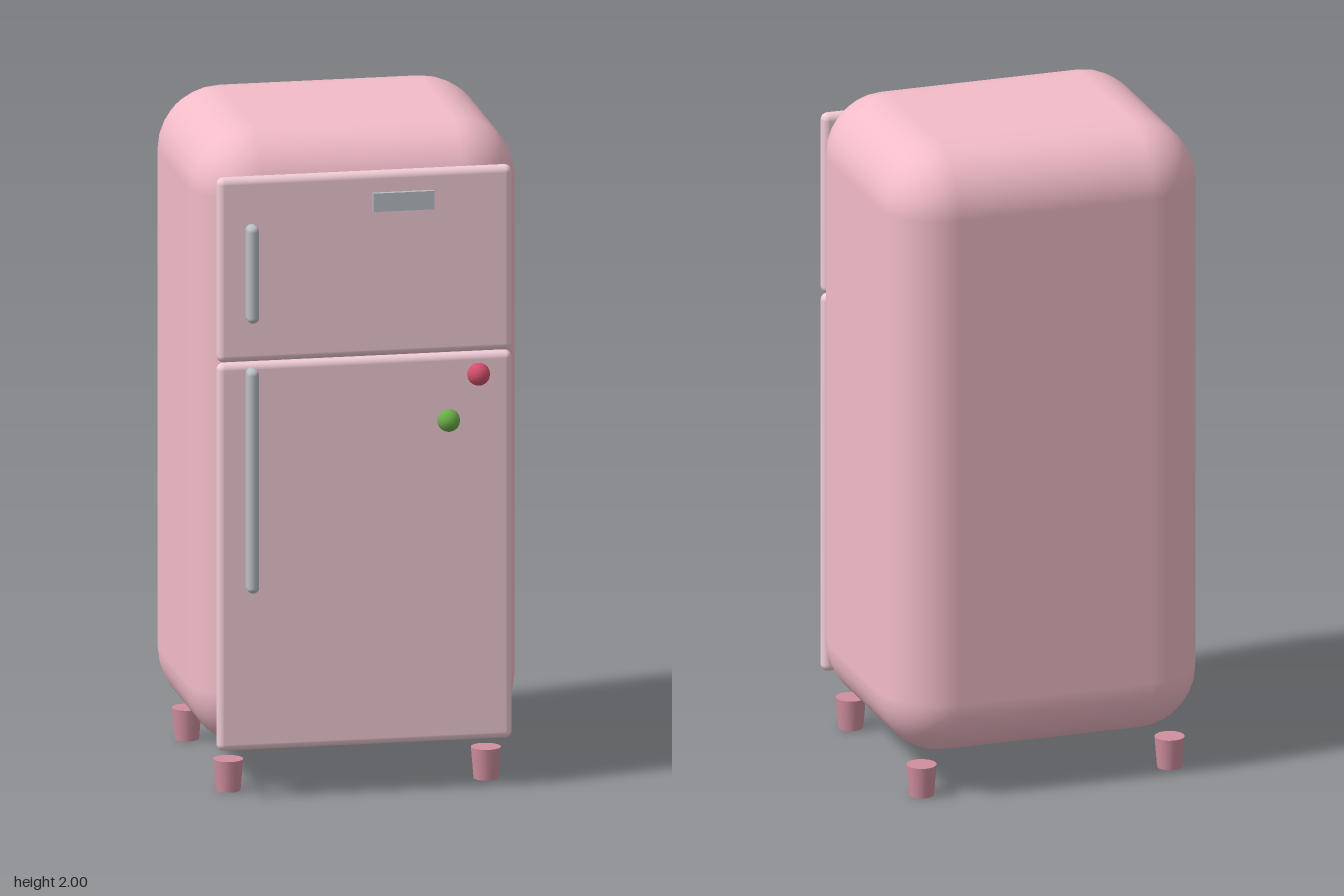
import * as THREE from 'three';
import { RoundedBoxGeometry } from 'three/addons/geometries/RoundedBoxGeometry.js';

const material = (color) => new THREE.MeshStandardMaterial({ color });

export function createModel() {
  const model = new THREE.Group();
  model.name = 'refrigerator';

  const pink = material(0xf2bcc8);
  const palePink = material(0xf2cdd6);
  const rose = material(0xcf8f9e);
  const metal = material(0xb8bec4);

  const add = (name, geometry, mat, x, y, z) => {
    const mesh = new THREE.Mesh(geometry, mat);
    mesh.name = name;
    mesh.position.set(x, y, z);
    model.add(mesh);
    return mesh;
  };

  // Rounded box given by its lower and upper corners
  const roundedBox = (name, mat, [x0, y0, z0], [x1, y1, z1], segments, radius) =>
    add(name, new RoundedBoxGeometry(x1 - x0, y1 - y0, z1 - z0, segments, radius), mat,
      (x0 + x1) / 2, (y0 + y1) / 2, (z0 + z1) / 2);

  // Cabinet
  roundedBox('cabinet', pink, [-0.49, 0.11, -0.46], [0.49, 2, 0.36], 4, 0.19);

  // Doors
  roundedBox('freezerDoor', palePink, [-0.443, 1.327, 0.358], [0.443, 1.888, 0.401], 4, 0.021);
  roundedBox('mainDoor', palePink, [-0.443, 0.147, 0.358], [0.443, 1.325, 0.401], 4, 0.021);

  // Handles
  for (const [name, y0, y1] of [['freezerHandle', 1.456, 1.752], ['mainHandle', 0.636, 1.316]]) {
    roundedBox(name, metal, [-0.363, y0, 0.403], [-0.327, y1, 0.459], 4, 0.017);
  }

  // Blank metal plate on the freezer door
  add('plate', new THREE.BoxGeometry(0.183, 0.056, 0.014), metal, 0.113, 1.798, 0.408);

  // Round magnets
  for (const [name, color, x, y] of [['redMagnet', 0xd4506c, 0.34, 1.26], ['greenMagnet', 0x6aae48, 0.25, 1.124]]) {
    add(name, new THREE.SphereGeometry(0.034, 16, 12), material(color), x, y, 0.404);
  }

  // Tapered feet
  const footGeometry = new THREE.CylinderGeometry(0.045, 0.037, 0.095, 16);
  for (const x of [-0.387, 0.387]) {
    for (const z of [-0.365, 0.274]) add('foot', footGeometry, rose, x, 0.0475, z);
  }

  return model;
}
